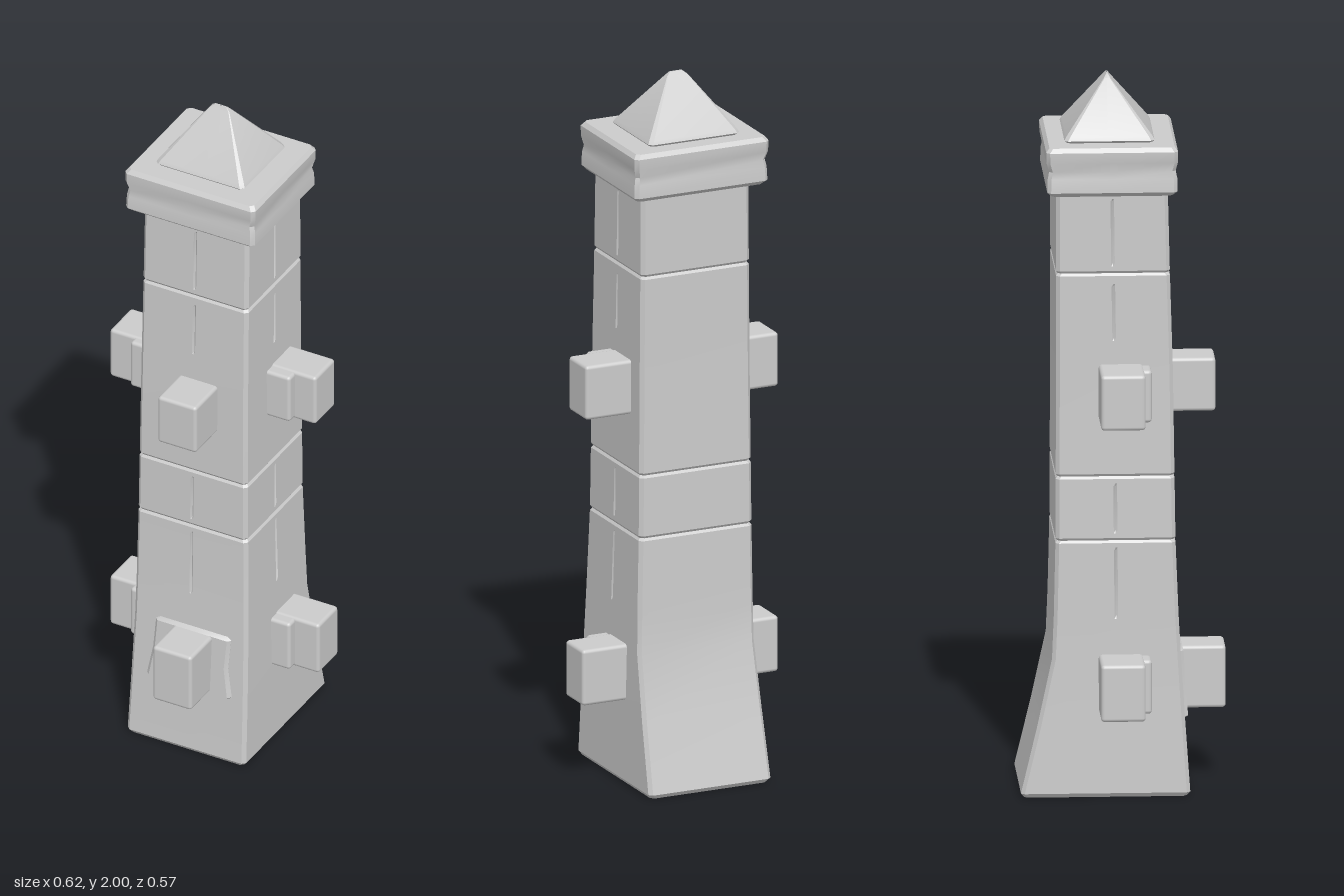
import * as THREE from 'three';
import { toCreasedNormals } from 'three/addons/utils/BufferGeometryUtils.js';
import { RoundedBoxGeometry } from 'three/addons/geometries/RoundedBoxGeometry.js';

const material = new THREE.MeshStandardMaterial({ color: 0xcccccc });

function add(group, name, geometry) {
  const mesh = new THREE.Mesh(geometry, material);
  mesh.name = name;
  group.add(mesh);
  return mesh;
}

// Rounded block between two corners
function block(group, name, [x0, x1], [y0, y1], [z0, z1], radius = 0.01) {
  const g = new RoundedBoxGeometry(x1 - x0, y1 - y0, z1 - z0, 2, radius);
  add(group, name, g).position.set((x0 + x1) / 2, (y0 + y1) / 2, (z0 + z1) / 2);
}

// Rectangular outline with cut corners and a seam notch in the middle of front and sides
function outline([y, x0, x1, z0, z1, notch = 0]) {
  const b = Math.min(0.01, (x1 - x0) * 0.1, (z1 - z0) * 0.1);
  const cx = (x0 + x1) / 2, cz = (z0 + z1) / 2;
  const w = Math.min(0.005, (x1 - x0) * 0.1, (z1 - z0) * 0.1);
  return [
    [x0 + b, z1], [cx - w, z1], [cx, z1 - notch], [cx + w, z1], [x1 - b, z1],
    [x1, z1 - b], [x1, cz + w], [x1 - notch, cz], [x1, cz - w], [x1, z0 + b],
    [x1 - b, z0], [x0 + b, z0],
    [x0, z0 + b], [x0, cz - w], [x0 + notch, cz], [x0, cz + w], [x0, z1 - b],
  ].map(([x, z]) => [x, y, z]);
}

// Skin over a stack of outlines
function loft(rows, crease = 0.5) {
  const rings = rows.map(outline), n = rings[0].length, index = [];
  for (let i = 0; i < rings.length - 1; i++) {
    for (let j = 0; j < n; j++) {
      const a = i * n + j, b = i * n + (j + 1) % n;
      index.push(a, b, b + n, a, b + n, a + n);
    }
  }
  const g = new THREE.BufferGeometry();
  g.setAttribute('position', new THREE.Float32BufferAttribute(rings.flat(2), 3));
  g.setIndex(index);
  return toCreasedNormals(g, crease);
}

// Shaft size by height: y, left, right, back, front
const profile = [
  [0.012, -0.187, 0.183, -0.283, 0.181],
  [0.2, -0.182, 0.18, -0.238, 0.168],
  [0.39, -0.177, 0.176, -0.197, 0.156],
  [0.55, -0.176, 0.172, -0.191, 0.147],
  [0.72, -0.175, 0.167, -0.188, 0.141],
  [1.2, -0.17, 0.163, -0.186, 0.134],
  [1.47, -0.168, 0.161, -0.186, 0.126],
  [1.72, -0.166, 0.16, -0.186, 0.12],
];

function sizeAt(y, inset = 0, notch = 0) {
  const i = Math.max(1, profile.findIndex((p) => p[0] >= y));
  const p = profile[i - 1], q = profile[i], t = (y - p[0]) / (q[0] - p[0]);
  const [, x0, x1, z0, z1] = p.map((v, k) => v + (q[k] - v) * t);
  return [y, x0 + inset, x1 - inset, z0 + inset, z1 - inset, notch];
}

export function createModel() {
  const tower = new THREE.Group();
  tower.name = 'tower';

  // Shaft: tapered pit underneath, flared foot, stone courses and vertical seams
  const rows = [
    [0.13, -0.012, 0.008, -0.06, -0.04],
    [0, -0.072, 0.068, -0.13, 0.03],
    [0, -0.178, 0.174, -0.274, 0.172],
    sizeAt(0.012), sizeAt(0.2), sizeAt(0.388),
  ];
  const seams = [[0.5, 0.7], [0.74, 0.88], [1.28, 1.44], [1.49, 1.68]];
  const marks = [];
  for (const y of [0.72, 0.9, 1.47]) {
    marks.push([y - 0.007, 0, 0], [y, 0.005, 0], [y + 0.007, 0, 0]);
  }
  for (const [a, b] of seams) {
    marks.push([a, 0, 0], [a + 0.008, 0, 0.005], [b - 0.008, 0, 0.005], [b, 0, 0]);
  }
  marks.push([1.2, 0, 0], [1.72, 0, 0]);
  marks.sort((a, b) => a[0] - b[0]);
  rows.push(...marks.map((m) => sizeAt(...m)));
  add(tower, 'shaft', loft(rows));

  // Overhanging cap slab with a shallow worn band
  add(tower, 'capSlab', loft([
    [1.7, -0.01, 0, -0.04, -0.03],
    [1.695, -0.2, 0.18, -0.2, 0.132],
    [1.707, -0.212, 0.191, -0.212, 0.145],
    [1.745, -0.21, 0.19, -0.211, 0.144],
    [1.765, -0.206, 0.186, -0.207, 0.14],
    [1.79, -0.213, 0.192, -0.214, 0.146],
    [1.82, -0.214, 0.193, -0.215, 0.146],
    [1.832, -0.205, 0.184, -0.206, 0.137],
    [1.832, -0.01, 0, -0.04, -0.03],
  ]));

  // Four-sided roof with a short ridge
  add(tower, 'roof', loft([
    [1.825, -0.138, 0.113, -0.15, 0.073],
    [1.838, -0.15, 0.125, -0.162, 0.085],
    [1.848, -0.145, 0.12, -0.157, 0.08],
    [1.99, -0.043, 0.018, -0.049, -0.031],
    [2, -0.03, 0.007, -0.042, -0.037],
    [2, -0.013, -0.01, -0.041, -0.038],
  ]));

  // Projecting blocks, one tier low and one high
  const tiers = [
    { name: 'lower', y: [0.24, 0.4], frontY: [0.215, 0.39], reach: 0.31, frontZ: 0.285 },
    { name: 'upper', y: [1.06, 1.215], frontY: [1.05, 1.2], reach: 0.3, frontZ: 0.257 },
  ];
  for (const { name, y, frontY, reach, frontZ } of tiers) {
    const innerY = [y[0] + 0.004, y[1] - 0.004];
    block(tower, name + 'FrontBlock', [-0.048, 0.073], frontY, [0.05, frontZ]);
    block(tower, name + 'LeftBlock', [0.1, reach], y, [-0.122, -0.01]);
    block(tower, name + 'LeftBlockStep', [0.1, 0.235], innerY, [-0.115, 0.019]);
    block(tower, name + 'RightBlock', [-0.31, -0.1], y, [-0.07, 0.052]);
    block(tower, name + 'RightBlockStep', [-0.235, -0.1], innerY, [-0.06, 0.073]);
  }

  // Flared plate behind the lower front block
  add(tower, 'frontPlate', loft([
    [0.205, -0.13, 0.138, 0.08, 0.165],
    [0.212, -0.128, 0.136, 0.08, 0.178],
    [0.3, -0.112, 0.122, 0.08, 0.172],
    [0.39, -0.106, 0.128, 0.08, 0.166],
    [0.4, -0.1, 0.122, 0.08, 0.154],
    [0.4, -0.01, 0.01, 0.1, 0.12],
  ]));

  return tower;
}
